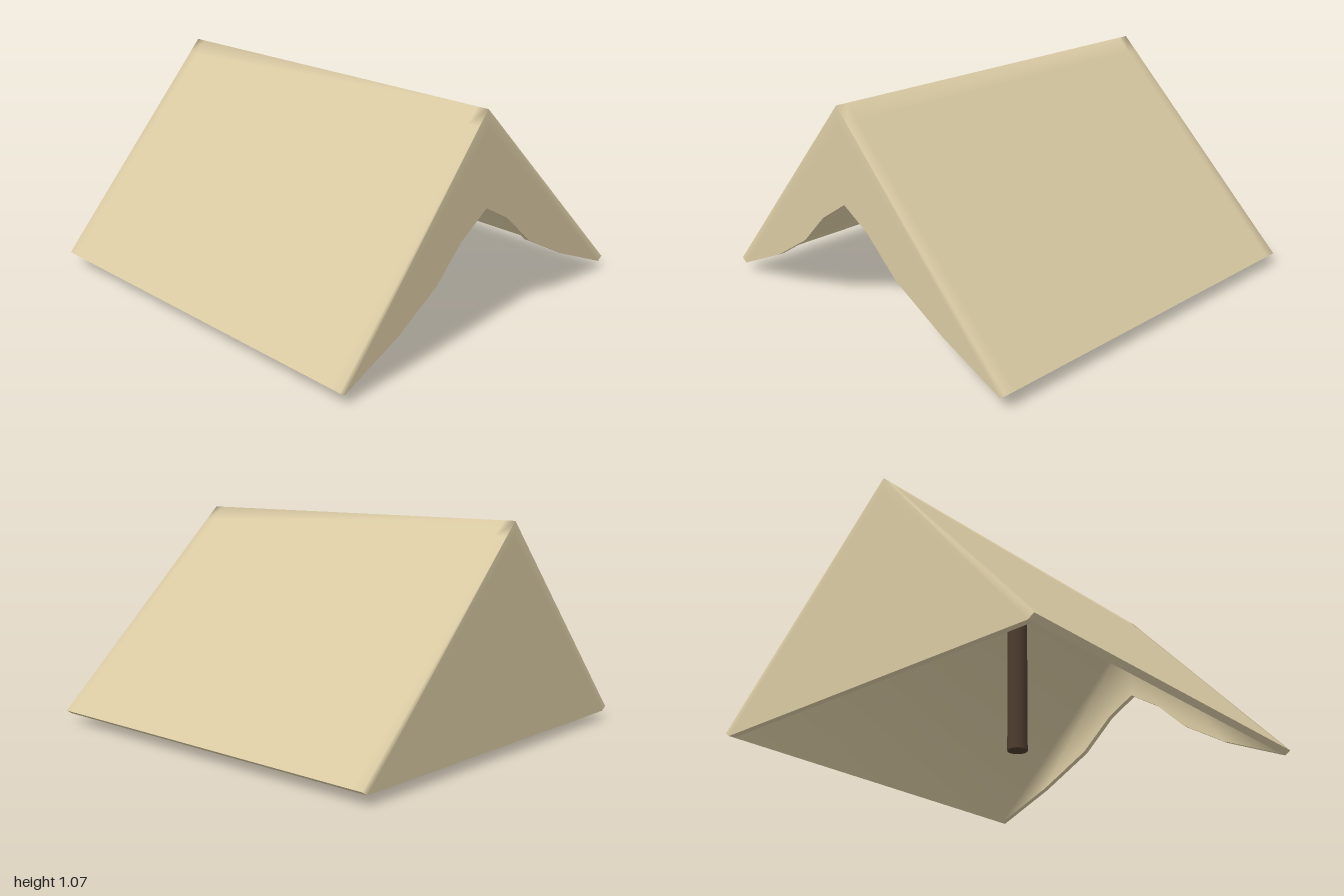
import * as THREE from 'three';

const CENTRE = new THREE.Vector3(0, 0.4, 0);

// Surface of convex polygons; each triangle is turned away or toward the centre.
// Smooth surfaces share their corners, flat ones do not.
function surface(name, polys, material, { outward = true, smooth = true } = {}) {
  const pos = [];
  const index = [];
  const seen = new Map();
  const corner = (v) => {
    const key = v.toArray().map((n) => n.toFixed(4)).join();
    if (smooth && seen.has(key)) return seen.get(key);
    seen.set(key, pos.length / 3);
    pos.push(v.x, v.y, v.z);
    return seen.get(key);
  };
  for (const p of polys) {
    for (let i = 1; i < p.length - 1; i++) {
      const t = new THREE.Triangle(p[0], p[i], p[i + 1]);
      const away = t.getNormal(new THREE.Vector3())
        .dot(t.getMidpoint(new THREE.Vector3()).sub(CENTRE)) > 0;
      const order = away === outward ? [t.a, t.b, t.c] : [t.a, t.c, t.b];
      index.push(...order.map(corner));
    }
  }
  const geo = new THREE.BufferGeometry();
  geo.setAttribute('position', new THREE.Float32BufferAttribute(pos, 3));
  geo.setIndex(index);
  geo.computeVertexNormals();
  const mesh = new THREE.Mesh(geo, material);
  mesh.name = name;
  return mesh;
}

export function createModel() {
  const cloth = new THREE.MeshStandardMaterial({ color: 0xd8c9a2 });
  const hemCloth = new THREE.MeshStandardMaterial({ color: 0xd8c9a2, side: THREE.DoubleSide });
  const wood = new THREE.MeshStandardMaterial({ color: 0x4d3c2e });
  const group = new THREE.Group();
  group.name = 'tent';

  // Cross-sections as [z, y]; extra points beside the ridge keep its rounding narrow
  const outer = [[0.97, 0.065], [0.13, 1.003], [0.07, 1.07], [0, 1.003], [-0.97, 0.065]];
  const inner = [[0.94, 0.045], [0.065, 1.02], [-0.94, 0.045]];
  const opening = [[0.94, 0.045], [0.62, 0.19], [0.38, 0.34], [0.22, 0.5], [0.05, 0.61],
    [-0.11, 0.52], [-0.3, 0.35], [-0.6, 0.19], [-0.94, 0.045]];
  const gableTop = [0.062, 0.99];
  const xIn = 0.97;
  const at = (x) => ([z, y]) => new THREE.Vector3(x, y, z);

  // Quads joining neighbouring points of a section between two x positions
  const loft = (pts, x0, x1) => pts.slice(1).map((b, i) =>
    [at(x0)(pts[i]), at(x0)(b), at(x1)(b), at(x1)(pts[i])]);

  // Gable with the doorway cut out
  const doorGable = (x, top) => {
    const pts = [...opening, top];
    const flat = pts.map(([z, y]) => new THREE.Vector2(z, y));
    return THREE.ShapeUtils.triangulateShape(flat, []).map((f) => f.map((i) => at(x)(pts[i])));
  };

  // Outer skin: roof slopes, gable borders, closed gable and doorway gable
  const xs = [-1, -0.94, 0.94, 1];
  const skin = xs.slice(1).flatMap((x, i) => loft(outer, xs[i], x));
  for (const x of [-1, 1]) {
    skin.push([inner[0], outer[0], outer[1], outer[2], gableTop].map(at(x)));
    skin.push([inner[2], outer[4], outer[3], outer[2], gableTop].map(at(x)));
  }
  skin.push([inner[0], gableTop, inner[2]].map(at(-1)), ...doorGable(1, gableTop));
  group.add(surface('outerCanvas', skin, cloth));

  // Inner lining
  const lining = [...loft(inner, -xIn, xIn), inner.map(at(-xIn)), ...doorGable(xIn, inner[1])];
  group.add(surface('innerCanvas', lining, cloth, { outward: false }));

  // Hems: both eaves, the foot of the closed gable and the doorway edge
  const hems = [
    ...loft([outer[0], inner[0]], -1, 1),
    ...loft([outer[4], inner[2]], -1, 1),
    ...loft([inner[0], inner[2]], -1, -xIn),
    ...loft(opening, xIn, 1),
  ];
  group.add(surface('hem', hems, hemCloth, { smooth: false }));

  // Centre pole
  const pole = new THREE.Mesh(new THREE.CylinderGeometry(0.05, 0.05, 0.99, 24), wood);
  pole.position.set(-0.03, 0.495, 0.05);
  pole.name = 'pole';
  group.add(pole);
  return group;
}
